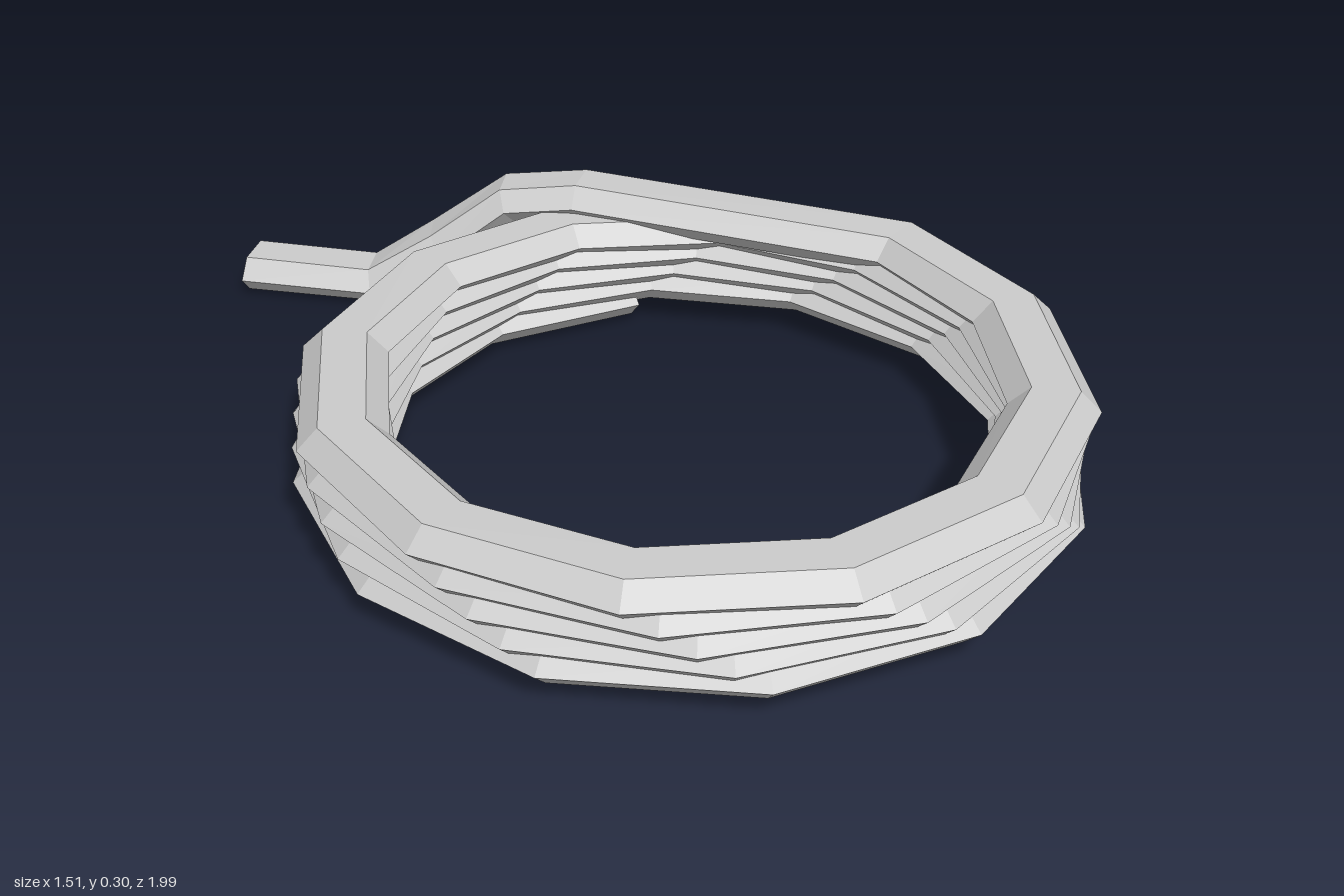
import * as THREE from 'three';

const HALF_W = 0.083, HALF_H = 0.04;
// flattened hexagon: points to the sides, flat on top and bottom
const PROFILE = [[1, 0], [0.52, 1], [-0.52, 1], [-1, 0], [-0.52, -1], [0.52, -1]];

// rope centre line: a rising coil, then a loose end laid over it to the floor
function ropePath() {
  const pts = [];
  const steps = 59, start = -76, end = -23 - 4 * 360 - 360;
  for (let i = 0; i <= steps; i++) {
    const t = i / steps;
    const a = THREE.MathUtils.degToRad(start + (end - start) * t);
    pts.push(new THREE.Vector3(0.672 * Math.cos(a), 0.05 + 0.19 * t, 0.21 + 0.69 * Math.sin(a)));
  }
  const tail = [[0.1, 0.262, -0.535], [-0.03, 0.238, -0.635], [-0.17, 0.13, -0.7],
    [-0.305, 0.04, -0.765], [-0.54, 0.04, -0.94]];
  tail.forEach(p => pts.push(new THREE.Vector3(...p)));
  return pts;
}

// sweep the profile along the path with mitred corners and closed ends
function sweep(pts) {
  const up = new THREE.Vector3(0, 1, 0);
  const n = PROFILE.length, pos = [], idx = [];
  pts.forEach((p, i) => {
    const prev = pts[Math.max(i - 1, 0)], next = pts[Math.min(i + 1, pts.length - 1)];
    const a = p.clone().sub(prev).normalize(), b = next.clone().sub(p).normalize();
    const dir = a.clone().add(b).normalize();
    const side = new THREE.Vector3().crossVectors(dir, up).normalize();
    const lift = new THREE.Vector3().crossVectors(side, dir);
    // widen at horizontal bends so the rope keeps its width
    const ha = a.setY(0).normalize(), hb = b.setY(0).normalize();
    const bend = i > 0 && i < pts.length - 1 ? Math.sqrt((1 + ha.dot(hb)) / 2) : 1;
    for (const [u, v] of PROFILE) {
      const q = p.clone().addScaledVector(side, u * HALF_W / bend).addScaledVector(lift, v * HALF_H);
      pos.push(q.x, q.y, q.z);
    }
  });
  for (let i = 0; i < pts.length - 1; i++) {
    for (let j = 0; j < n; j++) {
      const a = i * n + j, b = i * n + (j + 1) % n;
      idx.push(a, b, b + n, a, b + n, a + n);
    }
  }
  const last = (pts.length - 1) * n;
  for (let j = 1; j < n - 1; j++) {
    idx.push(0, j + 1, j, last, last + j, last + j + 1);
  }
  // the profile runs anticlockwise seen from behind, so turn all faces outward
  for (let k = 0; k < idx.length; k += 3) {
    if (facesInward(pos, idx)) [idx[k + 1], idx[k + 2]] = [idx[k + 2], idx[k + 1]];
    else break;
    if (k === 0) {
      for (let m = 3; m < idx.length; m += 3) [idx[m + 1], idx[m + 2]] = [idx[m + 2], idx[m + 1]];
      break;
    }
  }
  const g = new THREE.BufferGeometry();
  g.setAttribute('position', new THREE.Float32BufferAttribute(pos, 3));
  g.setIndex(idx);
  const flat = g.toNonIndexed();
  flat.computeVertexNormals();
  return flat;
}

// signed volume of the closed sweep tells which way its faces look
function facesInward(pos, idx) {
  const v = k => new THREE.Vector3(pos[3 * k], pos[3 * k + 1], pos[3 * k + 2]);
  let sum = 0;
  for (let k = 0; k < idx.length; k += 3) sum += v(idx[k]).dot(v(idx[k + 1]).cross(v(idx[k + 2])));
  return sum < 0;
}

export function createModel() {
  const group = new THREE.Group();
  group.name = 'ropeCoil';
  const rope = new THREE.Mesh(sweep(ropePath()),
    new THREE.MeshStandardMaterial({ color: 0xcccccc, flatShading: true }));
  rope.name = 'rope';
  group.add(rope);
  return group;
}
